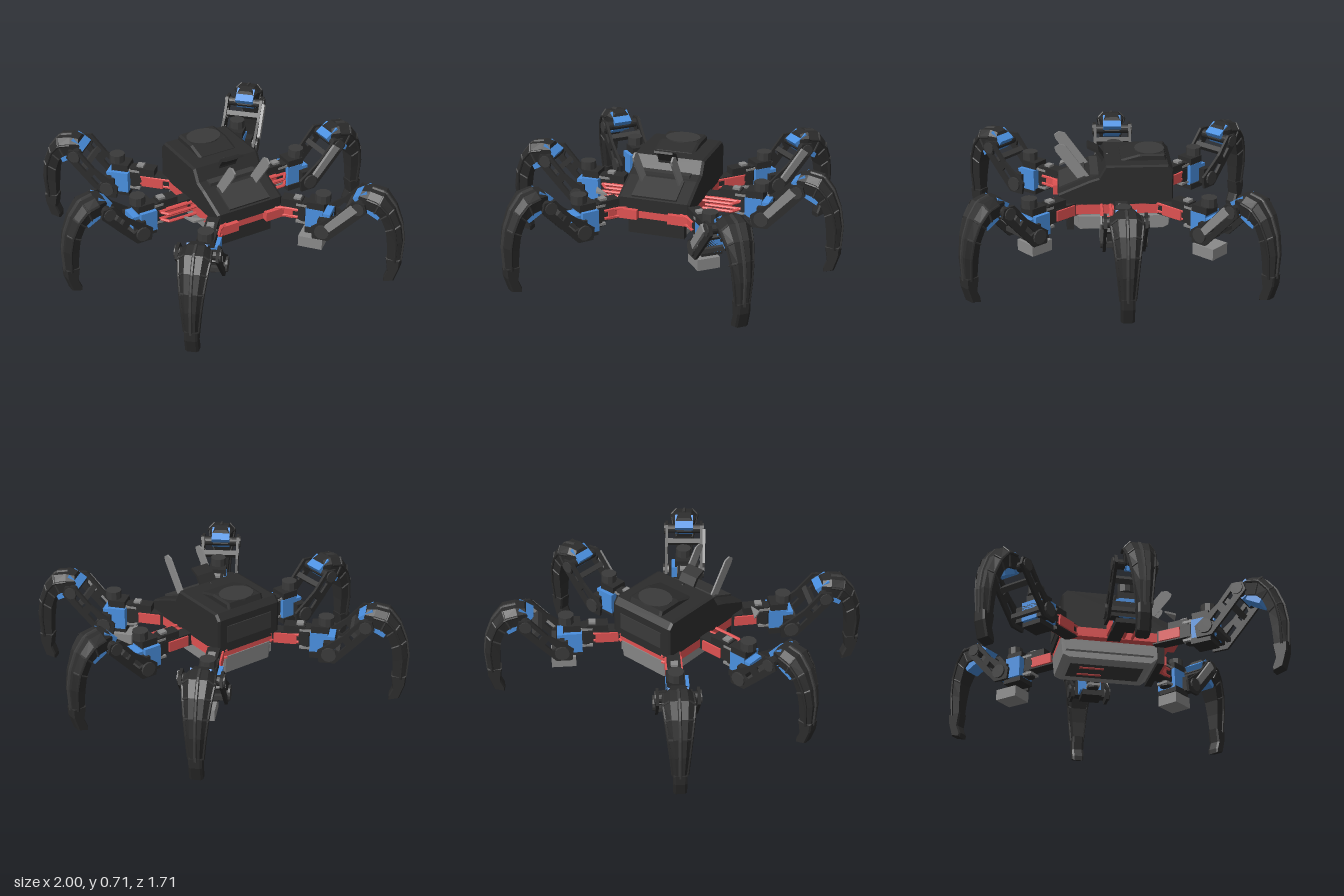
import * as THREE from 'three';

const mat = (color, side = THREE.FrontSide) => new THREE.MeshStandardMaterial({ color, side, flatShading: true });
const BLACK = mat(0x2c2c2c), DARK = mat(0x3a3a3a), BLUE = mat(0x4a90e0);
const RED = mat(0xe05252), GREY = mat(0x8a8a8a), SHELL = mat(0x2c2c2c, THREE.DoubleSide);

function add(parent, name, geometry, material, x = 0, y = 0, z = 0) {
  const mesh = new THREE.Mesh(geometry, material);
  mesh.name = name;
  mesh.position.set(x, y, z);
  parent.add(mesh);
  return mesh;
}

const box = (parent, name, m, w, h, d, x, y, z) =>
  add(parent, name, new THREE.BoxGeometry(w, h, d), m, x, y, z);

const disc = (parent, name, m, r, h, x, y, z, axis = 'y', sides = 16) => {
  const g = new THREE.CylinderGeometry(r, r, h, sides);
  if (axis === 'z') g.rotateX(Math.PI / 2);
  return add(parent, name, g, m, x, y, z);
};

// Flat profile extruded to a thickness and centred on z
function slab(points, depth, holes = [], bevel = 0) {
  const toVec = (list) => list.map(([x, y]) => new THREE.Vector2(x, y));
  const shape = new THREE.Shape(toVec(points));
  holes.forEach((h) => shape.holes.push(new THREE.Path(toVec(h))));
  const g = new THREE.ExtrudeGeometry(shape, {
    depth: depth - 2 * bevel, bevelEnabled: bevel > 0, bevelSize: bevel * 0.5,
    bevelThickness: bevel, bevelSegments: 1,
  });
  return g.translate(0, 0, bevel - depth / 2);
}

// Profile given as (z, y), extruded across the body width
const crossSlab = (points, width, bevel = 0) => slab(points, width, [], bevel).rotateY(-Math.PI / 2);

// Thin bar along a list of points
function rod(parent, name, m, points, r = 0.009) {
  const path = new THREE.CurvePath();
  const v = points.map((p) => new THREE.Vector3(...p));
  for (let i = 1; i < v.length; i++) path.add(new THREE.LineCurve3(v[i - 1], v[i]));
  return add(parent, name, new THREE.TubeGeometry(path, 24, r, 6), m);
}

// Shell from sections [outerU, outerY, innerU, innerY, halfWidth], chamfered on the outer side
function shinShell(sections) {
  const pos = [], idx = [], n = 6;
  for (const [ou, oy, iu, iy, w] of sections) {
    const at = (t, s) => pos.push(ou + (iu - ou) * t, oy + (iy - oy) * t, s * w);
    at(0, -0.6); at(0, 0.6); at(0.3, 1); at(1, 0.8); at(1, -0.8); at(0.3, -1);
  }
  for (let s = 0; s < sections.length - 1; s++)
    for (let i = 0; i < n; i++) {
      const a = s * n + i, b = s * n + (i + 1) % n;
      idx.push(a, a + n, b, b, a + n, b + n);
    }
  const last = (sections.length - 1) * n;
  for (let i = 1; i < n - 1; i++) idx.push(0, i, i + 1, last, last + i + 1, last + i);
  const g = new THREE.BufferGeometry();
  g.setAttribute('position', new THREE.Float32BufferAttribute(pos, 3));
  g.setIndex(idx);
  g.computeVertexNormals();
  return g;
}

const SHIN = [
  [0.75, 0.565, 0.72, 0.485, 0.058], [0.80, 0.575, 0.77, 0.47, 0.074], [0.875, 0.56, 0.835, 0.455, 0.08],
  [0.935, 0.485, 0.87, 0.42, 0.07], [0.975, 0.385, 0.90, 0.34, 0.058], [0.992, 0.28, 0.91, 0.25, 0.047],
  [0.985, 0.14, 0.915, 0.14, 0.035],
];

// One leg, reaching outward along +x; greyBoxU places an optional box under the hip
function makeLeg(greyCover, greyBoxU) {
  const leg = new THREE.Group();
  leg.name = 'leg';

  // Hip arm and red clamp
  box(leg, 'hipArm', BLACK, 0.24, 0.075, 0.075, 0.31, 0.345, 0);
  box(leg, 'hipArmTop', BLACK, 0.12, 0.045, 0.07, 0.35, 0.40, 0);
  box(leg, 'hipHorn', GREY, 0.04, 0.015, 0.04, 0.38, 0.428, 0);
  for (const s of [-1, 1]) {
    box(leg, 'hipClamp', RED, 0.13, 0.06, 0.012, 0.30, 0.345, s * 0.042);
    box(leg, 'hipBracket', GREY, 0.08, 0.014, 0.075, 0.42, 0.345 + s * 0.055, 0);
  }

  // Swing motor and lift motor
  disc(leg, 'swingAxle', BLACK, 0.035, 0.14, 0.42, 0.345, 0);
  box(leg, 'swingMotor', BLUE, 0.10, 0.125, 0.125, 0.49, 0.335, -0.01);
  box(leg, 'swingMotorCap', BLACK, 0.10, 0.045, 0.10, 0.495, 0.415, 0);
  disc(leg, 'swingMotorGear', DARK, 0.045, 0.05, 0.525, 0.46, 0, 'y', 10);
  box(leg, 'swingMotorBase', BLACK, 0.12, 0.035, 0.12, 0.50, 0.262, 0);
  box(leg, 'liftMotor', BLACK, 0.06, 0.09, 0.18, 0.55, 0.315, 0);
  box(leg, 'liftMotorCase', BLUE, 0.05, 0.11, 0.10, 0.555, 0.325, 0);
  disc(leg, 'liftAxle', GREY, 0.022, 0.25, 0.555, 0.315, 0, 'z');
  if (greyBoxU) box(leg, 'underBox', GREY, 0.14, 0.065, 0.13, greyBoxU, 0.192, 0.015);

  // Thigh: two slotted side plates with cross braces
  const thigh = [[0.50, 0.25], [0.59, 0.25], [0.68, 0.345], [0.80, 0.475], [0.785, 0.525], [0.72, 0.53], [0.63, 0.425], [0.49, 0.32]];
  const slots = [
    [[0.61, 0.32], [0.65, 0.365], [0.63, 0.39], [0.58, 0.335]],
    [[0.68, 0.40], [0.725, 0.45], [0.715, 0.485], [0.66, 0.425]],
  ];
  for (const s of [-1, 1]) {
    add(leg, 'thighPlate', slab(thigh, 0.016, slots), BLACK, 0, 0, s * 0.107);
    disc(leg, 'thighPivot', DARK, 0.042, 0.014, 0.555, 0.305, s * 0.12, 'z', 12);
    disc(leg, 'kneePivot', DARK, 0.035, 0.014, 0.75, 0.49, s * 0.116, 'z', 12);
  }
  if (greyCover) add(leg, 'thighCover', slab([[0.57, 0.35], [0.60, 0.32], [0.75, 0.48], [0.71, 0.51]], 0.018), GREY, 0, 0, 0.123);
  const brace = box(leg, 'thighBrace', DARK, 0.03, 0.05, 0.20, 0.69, 0.43, 0);
  brace.rotation.z = 0.8;
  box(leg, 'thighLowerBrace', DARK, 0.025, 0.025, 0.20, 0.60, 0.30, 0);

  // Knee motors
  const knee = box(leg, 'kneeMotor', BLUE, 0.09, 0.085, 0.11, 0.765, 0.51, 0);
  knee.rotation.z = 0.6;
  disc(leg, 'kneeAxle', BLACK, 0.028, 0.22, 0.75, 0.49, 0, 'z');
  const core = box(leg, 'shinMotor', BLUE, 0.09, 0.08, 0.10, 0.83, 0.46, 0);
  core.rotation.z = -0.5;

  // Shin shell, side ribs and foot
  add(leg, 'shinShell', shinShell(SHIN), SHELL);
  for (const s of [-1, 1]) {
    const edge = SHIN.slice(1).map(([ou, oy, iu, iy, w]) => [ou * 0.65 + iu * 0.35, oy * 0.65 + iy * 0.35, s * (w + 0.003)]);
    rod(leg, 'shinRib', BLACK, edge, 0.008);
    for (const [ou, oy, iu, iy, w] of SHIN.slice(2, 5))
      rod(leg, 'shinCrossRib', DARK, [[ou, oy, s * w * 0.6], [ou * 0.7 + iu * 0.3, oy * 0.7 + iy * 0.3, s * w], [iu, iy, s * w * 0.85]], 0.006);
  }
  const spine = SHIN.slice(1).map(([ou, oy]) => [ou, oy, 0]);
  rod(leg, 'shinSpine', DARK, spine, 0.01);
  add(leg, 'foot', slab([[0.912, 0.15], [0.985, 0.15], [0.982, 0.10], [0.955, 0.015], [0.905, 0], [0.905, 0.02], [0.925, 0.07]], 0.072, [], 0.012), BLACK);
  return leg;
}

function makeBody() {
  const body = new THREE.Group();
  body.name = 'body';

  // Upper housing with sloping front panel
  add(body, 'housing', crossSlab([[-0.315, 0.37], [-0.315, 0.56], [-0.29, 0.59], [0.05, 0.59], [0.09, 0.52], [0.15, 0.50], [0.315, 0.43], [0.315, 0.37]], 0.42, 0.015), BLACK);
  const panel = box(body, 'frontPanel', DARK, 0.26, 0.012, 0.16, 0, 0.475, 0.24);
  panel.rotation.x = 0.39;
  box(body, 'panelStep', DARK, 0.30, 0.03, 0.06, 0, 0.515, 0.11);
  box(body, 'rearPlate', DARK, 0.30, 0.10, 0.012, 0, 0.47, -0.322);

  // Raised hood on the rear half
  add(body, 'hood', crossSlab([[-0.30, 0.56], [-0.275, 0.622], [-0.14, 0.622], [-0.04, 0.595], [-0.03, 0.56]], 0.24, 0.015), BLACK);
  const ring = disc(body, 'hoodRing', DARK, 0.085, 0.012, 0, 0.625, -0.20, 'y', 20);
  ring.scale.x = 1.2;

  // Red belt, lower tray and front block
  box(body, 'redBelt', RED, 0.42, 0.06, 0.62, 0, 0.345, 0);
  add(body, 'lowerTray', crossSlab([[-0.31, 0.32], [-0.30, 0.22], [-0.27, 0.205], [0.20, 0.205], [0.24, 0.24], [0.24, 0.32]], 0.32, 0.01), GREY);
  box(body, 'bellyPlate', DARK, 0.18, 0.012, 0.42, 0, 0.203, -0.04);
  box(body, 'frontBlock', BLACK, 0.33, 0.11, 0.04, 0, 0.26, 0.255);
  for (const s of [-1, 1]) {
    box(body, 'bellyStrip', RED, 0.02, 0.012, 0.14, s * 0.045, 0.2, -0.12);
    box(body, 'trayRail', GREY, 0.03, 0.05, 0.50, s * 0.17, 0.265, -0.04);
    box(body, 'frontClamp', RED, 0.12, 0.055, 0.05, s * 0.15, 0.345, 0.325);

    // Leaning fin
    add(body, 'fin', crossSlab([[0.14, 0.50], [0.20, 0.48], [0.33, 0.655], [0.338, 0.68], [0.31, 0.70], [0.275, 0.69]], 0.01), GREY, s * 0.11, 0, 0);

    // Red rails reaching to the hips
    for (const y of [0.325, 0.37]) {
      rod(body, 'sideRail', RED, [[s * 0.20, y, 0.08], [s * 0.38, y, 0.08], [s * 0.41, y, 0.04]]);
      rod(body, 'sideRail', RED, [[s * 0.20, y, 0.03], [s * 0.42, y, 0.03]]);
      rod(body, 'rearRail', RED, [[s * 0.20, y, -0.23], [s * 0.33, y, -0.37], [s * 0.31, y, -0.41]]);
      rod(body, 'rearRail', RED, [[s * 0.15, y, -0.32], [s * 0.20, y, -0.30], [s * 0.28, y, -0.42]]);
      rod(body, 'frontRail', RED, [[s * 0.20, y, 0.26], [s * 0.31, y, 0.36], [s * 0.29, y, 0.41]]);
      rod(body, 'frontRail', RED, [[s * 0.16, y, 0.32], [s * 0.22, y, 0.36], [s * 0.26, y, 0.41]]);
    }
  }

  // Curved visor arching forward above the panel
  add(body, 'visor', crossSlab([[0.04, 0.50], [0.06, 0.50], [0.075, 0.58], [0.105, 0.625], [0.155, 0.65], [0.15, 0.662], [0.09, 0.635], [0.055, 0.585]], 0.11), BLACK);
  rod(body, 'visorHook', BLACK, [[0, 0.55, 0.06], [0, 0.60, 0.04], [0, 0.575, 0.005]], 0.007);

  // Small grey flap above the right front hip
  add(body, 'hipFlap', slab([[-0.37, 0.23], [-0.28, 0.31], [-0.35, 0.30]], 0.012).rotateX(Math.PI / 2), GREY, 0, 0.43, 0);
  return body;
}

export function createModel() {
  const model = new THREE.Group();
  model.name = 'sixLeggedRobot';
  model.add(makeBody());

  // Legs: angle toward the front in degrees, origin offset, under-box position, name
  const layout = [[50, 0.04, 0.078, 0.48, 'Front'], [0, 0, -0.025, 0, 'Middle'], [-46, 0.045, -0.122, 0.55, 'Rear']];
  for (const side of [1, -1])
    for (const [angle, x, z, boxU, name] of layout) {
      const leg = makeLeg(side > 0, side > 0 ? boxU : 0);
      const a = THREE.MathUtils.degToRad(side > 0 ? angle : 180 - angle);
      leg.rotation.y = -a;
      leg.position.set(side * x, 0, z);
      leg.name = (side > 0 ? 'left' : 'right') + name + 'Leg';
      model.add(leg);
    }
  return model;
}
